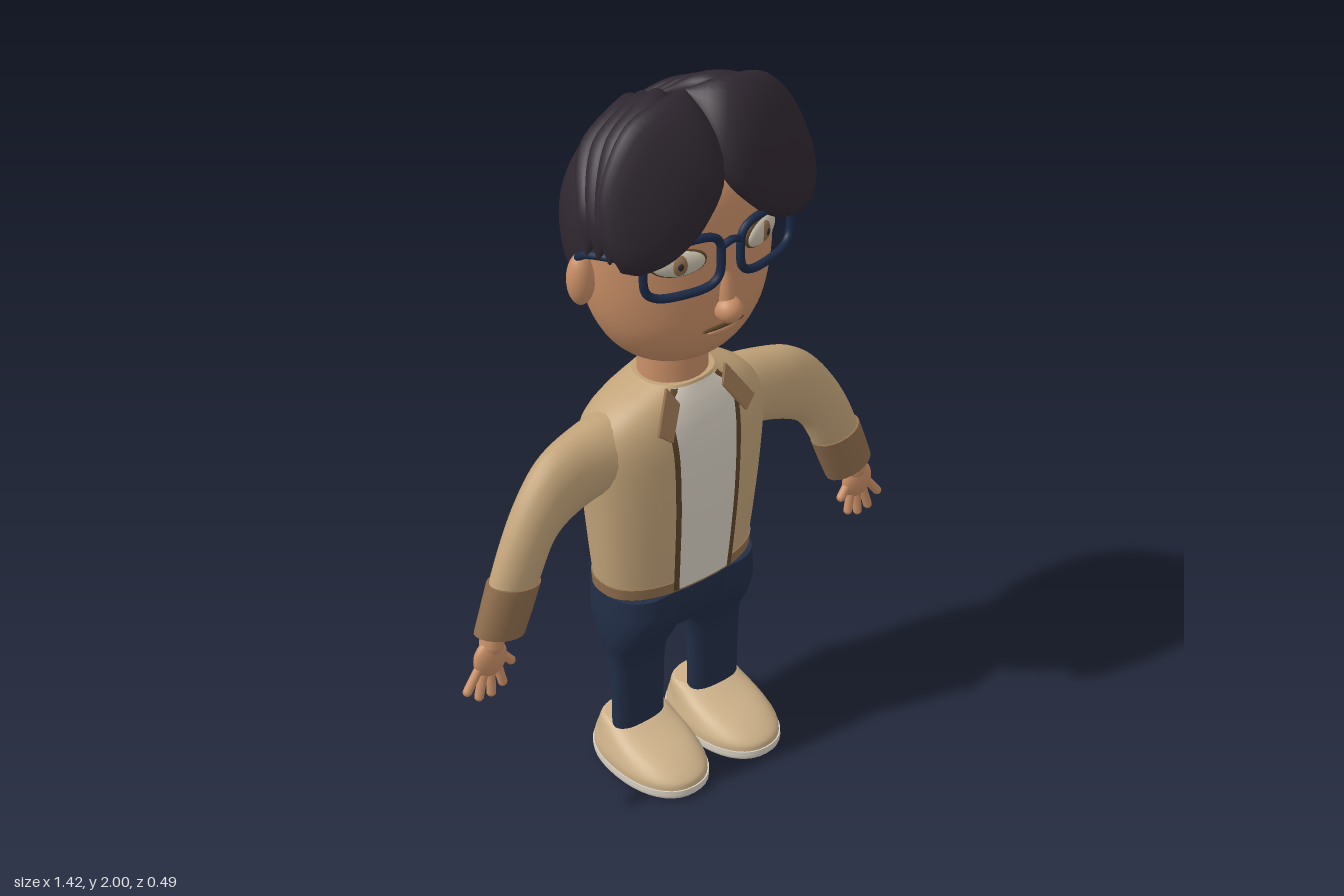
import * as THREE from 'three';

const mat = (name, color, side = THREE.FrontSide) => {
  const m = new THREE.MeshStandardMaterial({ color, side });
  m.name = name;
  return m;
};
const V = (x, y, z) => new THREE.Vector3(x, y, z);
const spline = (pts) => new THREE.CatmullRomCurve3(pts, false, 'catmullrom');
const spow = (v, p) => Math.sign(v) * Math.abs(v) ** p;

// Closed surface through a list of rings, with a flat fan at each end
function skinRings(rings) {
  const n = rings[0].length, pos = [], idx = [];
  rings.forEach((r) => r.forEach((p) => pos.push(p.x, p.y, p.z)));
  for (let j = 0; j < rings.length - 1; j++) for (let i = 0; i < n; i++) {
    const a = j * n + i, b = j * n + (i + 1) % n;
    idx.push(a, a + n, b, b, a + n, b + n);
  }
  [rings[0], rings[rings.length - 1]].forEach((r, end) => {
    const s = pos.length / 3, c = V(0, 0, 0);
    r.forEach((p) => { pos.push(p.x, p.y, p.z); c.addScaledVector(p, 1 / n); });
    pos.push(c.x, c.y, c.z);
    for (let i = 0; i < n; i++) {
      const k = (i + 1) % n;
      if (end) idx.push(s + n, s + k, s + i); else idx.push(s + n, s + i, s + k);
    }
  });
  const g = new THREE.BufferGeometry();
  g.setAttribute('position', new THREE.Float32BufferAttribute(pos, 3));
  g.setIndex(idx);
  g.computeVertexNormals();
  return g;
}

// Upright form from rows [y, centre x, half width, front z, back z]
function sampler(rows) {
  const a = spline(rows.map((r) => V(r[1], r[0], r[2])));
  const b = spline(rows.map((r) => V(r[3], r[4], 0)));
  return (t) => {
    const p = a.getPoint(t), q = b.getPoint(t);
    return { cx: p.x, y: p.y, hw: p.z, zc: (q.x + q.y) / 2, rz: (q.x - q.y) / 2 };
  };
}
function loft(rows, p = 1, steps = 30, seg = 40) {
  const at = sampler(rows), rings = [];
  for (let j = 0; j <= steps; j++) {
    const s = at(j / steps), ring = [];
    for (let i = 0; i < seg; i++) {
      const a = i / seg * Math.PI * 2;
      ring.push(V(s.cx + s.hw * spow(Math.cos(a), p), s.y, s.zc + s.rz * spow(Math.sin(a), p)));
    }
    rings.push(ring);
  }
  return skinRings(rings);
}

// Elliptical sweep between two edge curves; thick lists the half thickness
function sweep(edgeA, edgeB, thick, side = 1, steps = 28, seg = 20) {
  const A = spline(edgeA.map(([x, y, z]) => V(x * side, y, z)));
  const B = spline(edgeB.map(([x, y, z]) => V(x * side, y, z)));
  const T = spline(thick.map((h) => V(h, 0, 0))), rings = [];
  const mid = (t) => A.getPoint(t).add(B.getPoint(t)).multiplyScalar(0.5);
  for (let j = 0; j <= steps; j++) {
    const t = j / steps, c = mid(t), ring = [];
    const tan = mid(Math.min(1, t + 0.02)).sub(mid(Math.max(0, t - 0.02)));
    const major = B.getPoint(t).sub(A.getPoint(t)).multiplyScalar(0.5);
    const minor = major.clone().cross(tan).normalize().multiplyScalar(T.getPoint(t).x);
    for (let i = 0; i < seg; i++) {
      const a = i / seg * Math.PI * 2;
      ring.push(c.clone().addScaledVector(major, Math.cos(a)).addScaledVector(minor, Math.sin(a)));
    }
    rings.push(ring);
  }
  return skinRings(rings);
}

export function createModel() {
  const model = new THREE.Group();
  model.name = 'youngMan';
  const skin = mat('skin', 0xc98f67), hair = mat('hair', 0x2f2730), tan = mat('jacketTan', 0xc2a379),
    brown = mat('cuffBrown', 0x8f6e4d), cream = mat('cream', 0xd8d0c3, THREE.DoubleSide),
    navy = mat('trouserNavy', 0x222e47), trim = mat('trimBrown', 0x5c4628, THREE.DoubleSide),
    shoeTan = mat('shoeTan', 0xcdb189), frame = mat('frameBlue', 0x1b2a47), eyeWhite = mat('eyeWhite', 0xc9c0ad);
  const add = (name, geo, m) => {
    const o = new THREE.Mesh(geo, m);
    o.name = name;
    model.add(o);
    return o;
  };
  const ball = (name, m, p, s, ry = 0) => {
    const o = add(name, new THREE.SphereGeometry(1, 28, 18), m);
    o.position.set(...p); o.scale.set(...s); o.rotation.y = ry;
    return o;
  };
  const rod = (name, m, a, b, r) => {
    const d = b.clone().sub(a), o = add(name, new THREE.CapsuleGeometry(r, d.length(), 5, 10), m);
    o.position.copy(a).addScaledVector(d, 0.5);
    o.quaternion.setFromUnitVectors(V(0, 1, 0), d.normalize());
  };

  // Head, neck and face
  add('head', loft([[1.253, 0, 0.04, 0.05, -0.03], [1.28, 0, 0.125, 0.115, -0.09], [1.33, 0, 0.188, 0.16, -0.135],
    [1.4, 0, 0.232, 0.188, -0.165], [1.48, 0, 0.256, 0.196, -0.185], [1.57, 0, 0.265, 0.198, -0.198],
    [1.67, 0, 0.262, 0.195, -0.2], [1.76, 0, 0.235, 0.18, -0.19], [1.83, 0, 0.18, 0.13, -0.15], [1.87, 0, 0.08, 0.06, -0.08]]), skin);
  const neck = add('neck', new THREE.CylinderGeometry(0.092, 0.095, 0.16, 32), skin);
  neck.position.set(0, 1.23, -0.008);
  neck.scale.z = 0.9;
  ball('noseTip', skin, [0, 1.452, 0.205], [0.036, 0.034, 0.037]);
  ball('noseBridge', skin, [0, 1.5, 0.192], [0.022, 0.08, 0.022]).rotation.x = -0.2;
  ball('mouth', trim, [0, 1.4, 0.186], [0.066, 0.007, 0.008]);
  ball('lowerLip', skin, [0, 1.387, 0.18], [0.045, 0.013, 0.013]);

  // Hair cap, cut high over the forehead and low at the nape
  const step = THREE.MathUtils.smoothstep, cap = [];
  for (let j = 0; j <= 24; j++) {
    const ring = [];
    for (let i = 0; i < 64; i++) {
      const a = i / 64 * Math.PI * 2, s = Math.sin(a);
      const edge = 1.525 + 0.1 * step(s, -0.12, 0.05) + 0.03 * step(s, 0.2, 0.7) + 0.17 * step(s, 0.72, 0.97);
      const ry = (v) => (v < 0 ? 0.35 : 0.275);
      const th = Math.acos((edge - 1.65) / ry(edge - 1.65)) * (1 - j / 24 * 0.99);
      const r = Math.sin(th), c = Math.cos(th);
      ring.push(V(0.289 * r * spow(Math.cos(a), 0.9), 1.65 + ry(c) * c, -0.01 + r * s * (s < 0 ? 0.235 : 0.212)));
    }
    cap.push(ring);
  }
  add('hairCap', skinRings(cap), hair);

  // Jacket body
  const torso = [[0.59, 0, 0.232, 0.112, -0.138], [0.7, 0, 0.245, 0.122, -0.146], [0.85, 0, 0.26, 0.132, -0.154],
    [1.0, 0, 0.272, 0.132, -0.157], [1.08, 0, 0.262, 0.122, -0.152], [1.14, 0, 0.205, 0.106, -0.13], [1.192, 0, 0.105, 0.085, -0.1]];
  add('jacketBody', loft(torso, 0.85), tan);
  add('jacketHem', loft([[0.585, 0, 0.236, 0.115, -0.142], [0.618, 0, 0.239, 0.118, -0.144]], 0.85, 2), brown);

  // Thin sheets that follow the chest
  const body = sampler(torso);
  const chest = (name, m, x0, x1, lift) => {
    const g = new THREE.PlaneGeometry(1, 1, 16, 40), p = g.attributes.position;
    for (let i = 0; i < p.count; i++) {
      const t = 0.005 + (p.getY(i) + 0.5) * 0.985, s = body(t);
      const x = THREE.MathUtils.lerp(x0(t), x1(t), p.getX(i) + 0.5);
      const k = Math.min(1, Math.abs(x) / s.hw) ** (2 / 0.85);
      p.setXYZ(i, x, s.y, s.zc + s.rz * (1 - k) ** 0.425 + lift);
    }
    g.computeVertexNormals();
    add(name, g, m);
  };
  const edge = (t) => 0.088 + 0.024 * t - 0.045 * step(t, 0.85, 1);
  chest('shirt', cream, (t) => -edge(t), edge, 0.006);

  for (const s of [1, -1]) {
    const side = s > 0 ? 'left' : 'right';
    chest(side + 'JacketTrim', trim, (t) => s * edge(t) - 0.008, (t) => s * edge(t) + 0.008, 0.009);

    // Collar flap
    const flap = new THREE.Shape([[0.095, 0], [0.155, -0.105], [0.12, -0.135], [0.07, -0.05]].map(([x, y]) => new THREE.Vector2(x * s, y)));
    const collar = add(side + 'Collar', new THREE.ExtrudeGeometry(flap, { depth: 0.01, bevelEnabled: false }), brown);
    collar.position.set(0, 1.2, 0.078);
    collar.rotation.x = -0.42;

    // Sleeve and cuff
    add(side + 'Sleeve', sweep(
      [[0.16, 1.14, -0.01], [0.28, 1.122, -0.01], [0.4, 1.09, 0], [0.49, 1.01, 0.012], [0.57, 0.88, 0.022], [0.65, 0.68, 0.028]],
      [[0.18, 0.92, -0.01], [0.27, 0.91, -0.01], [0.36, 0.885, 0], [0.42, 0.85, 0.012], [0.465, 0.77, 0.022], [0.524, 0.645, 0.028]],
      [0.09, 0.075, 0.062, 0.055, 0.05, 0.043], s), tan);
    add(side + 'Cuff', sweep([[0.612, 0.8, 0.025], [0.637, 0.735, 0.027], [0.66, 0.672, 0.028]],
      [[0.462, 0.768, 0.025], [0.489, 0.7, 0.027], [0.518, 0.633, 0.028]], [0.053, 0.05, 0.047], s, 6), brown);

    // Hand
    rod(side + 'Wrist', skin, V(0.6 * s, 0.69, 0.028), V(0.614 * s, 0.63, 0.028), 0.032);
    ball(side + 'Palm', skin, [0.622 * s, 0.59, 0.03], [0.049, 0.055, 0.025]);
    [[0.655, 0.575, 0.698, 0.52], [0.642, 0.56, 0.664, 0.488], [0.622, 0.555, 0.626, 0.484], [0.602, 0.56, 0.59, 0.5], [0.595, 0.595, 0.562, 0.555]]
      .forEach(([ax, ay, bx, by], i) => rod(side + (i < 4 ? 'Finger' : 'Thumb'), skin, V(ax * s, ay, 0.03), V(bx * s, by, 0.034), 0.0125));

    // Trouser leg
    add(side + 'Leg', loft([[0.13, 0.13 * s, 0.081, 0.04, -0.034], [0.22, 0.13 * s, 0.082, 0.04, -0.034], [0.31, 0.13 * s, 0.084, 0.042, -0.036],
      [0.37, 0.128 * s, 0.092, 0.052, -0.058], [0.43, 0.124 * s, 0.107, 0.085, -0.1], [0.5, 0.12 * s, 0.115, 0.11, -0.128],
      [0.58, 0.12 * s, 0.112, 0.106, -0.13]], 0.85), navy);

    // Shoe
    add(side + 'ShoeUpper', loft([[0.03, 0.127 * s, 0.12, 0.238, -0.133], [0.055, 0.127 * s, 0.119, 0.228, -0.129], [0.085, 0.126 * s, 0.111, 0.175, -0.117],
      [0.115, 0.124 * s, 0.101, 0.085, -0.103], [0.132, 0.123 * s, 0.093, 0.04, -0.093], [0.139, 0.122 * s, 0.083, 0.015, -0.082]], 0.9), shoeTan);
    add(side + 'ShoeSole', loft([[0, 0.127 * s, 0.112, 0.226, -0.124], [0.012, 0.127 * s, 0.122, 0.241, -0.135], [0.033, 0.127 * s, 0.123, 0.241, -0.136]], 0.9, 8), cream);

    // Ear and eye
    ball(side + 'Ear', skin, [0.283 * s, 1.545, -0.008], [0.036, 0.07, 0.034]);
    const eye = (name, m, z, w, h) => ball(side + name, m, [(0.128 + (z - 0.17) * 0.4) * s, 1.61, z], [w, h, 0.018], 0.38 * s);
    eye('EyeOutline', trim, 0.165, 0.073, 0.04);
    eye('EyeWhite', eyeWhite, 0.171, 0.067, 0.034);
    eye('Iris', brown, 0.1745, 0.027, 0.03);
    eye('Pupil', hair, 0.177, 0.013, 0.016);

    // Spectacle rim and temple
    const rim = [];
    for (let i = 0; i < 32; i++) {
      const a = i / 32 * Math.PI * 2;
      const x = 0.13 + 0.1 * spow(Math.cos(a), 0.55);
      rim.push(V(x * s, 1.608 + 0.071 * spow(Math.sin(a), 0.55), 0.212 - 0.9 * x * x));
    }
    add(side + 'Rim', new THREE.TubeGeometry(new THREE.CatmullRomCurve3(rim, true), 80, 0.011, 10, true), frame);
    add(side + 'Temple', new THREE.TubeGeometry(spline([V(0.225 * s, 1.65, 0.168), V(0.268 * s, 1.65, 0.12), V(0.294 * s, 1.635, 0.04), V(0.294 * s, 1.61, -0.005)]), 20, 0.01, 8), frame);

    // Swept hair locks, front to back
    add(side + 'FrontLock', sweep(
      [[0, 1.95, 0.06], [0, 1.81, 0.175], [0.07, 1.71, 0.205], [0.16, 1.645, 0.2], [0.24, 1.625, 0.18], [0.285, 1.635, 0.16]],
      [[0, 1.97, 0.03], [0.1, 2.0, 0.08], [0.22, 1.965, 0.085], [0.3, 1.85, 0.1], [0.322, 1.73, 0.13], [0.292, 1.64, 0.158]],
      [0.01, 0.045, 0.048, 0.042, 0.03, 0.004], s), hair);
    const lock = (name, z, y, tip) => add(side + name, sweep(
      [[0.005, y - 0.06, z], [0.08, y - 0.035, z + 0.13], [0.2, y - 0.12, z + 0.19], [0.265, 1.73, tip + 0.03], [tip * -0.2 + 0.325, 1.65, tip]],
      [[0, y - 0.05, z - 0.01], [0.09, y, z + 0.06], [0.23, y - 0.06, z + 0.09], [0.305, 1.77, tip - 0.05], [tip * -0.2 + 0.33, 1.655, tip - 0.005]],
      [0.004, 0.03, 0.034, 0.026, 0.003], s), hair);
    lock('SecondLock', -0.06, 1.975, 0.13);
    lock('ThirdLock', -0.11, 1.95, 0.095);
    lock('BackLock', -0.16, 1.925, 0.06);
  }

  // Seat of the trousers and spectacle bridge
  add('trouserSeat', loft([[0.405, 0, 0.04, 0.02, -0.03], [0.43, 0, 0.1, 0.065, -0.075], [0.48, 0, 0.185, 0.1, -0.115],
    [0.54, 0, 0.229, 0.112, -0.134], [0.6, 0, 0.228, 0.108, -0.134]], 0.85), navy);
  add('bridge', new THREE.TubeGeometry(spline([V(-0.036, 1.635, 0.21), V(0, 1.65, 0.216), V(0.036, 1.635, 0.21)]), 12, 0.01, 8), frame);
  return model;
}
